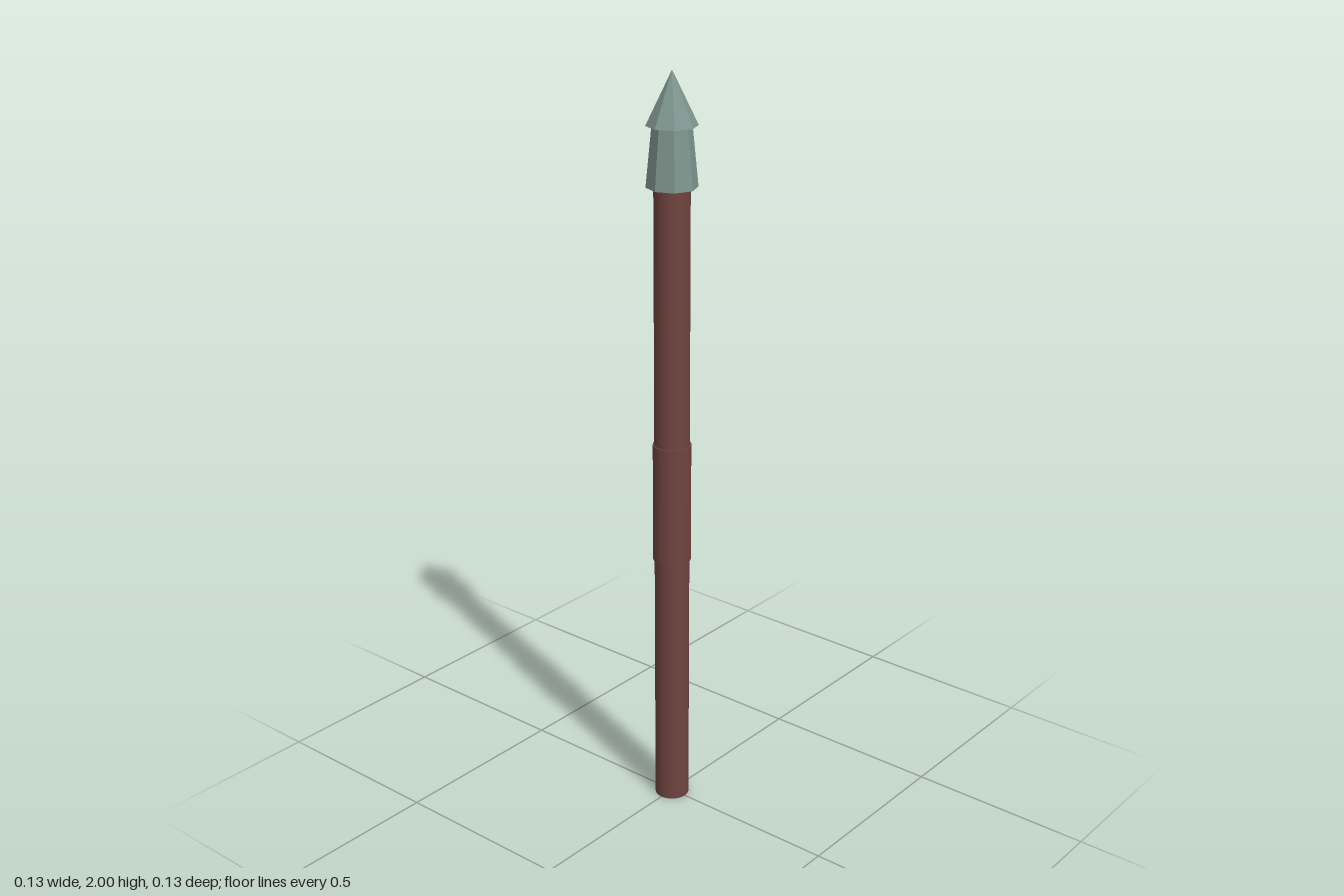
import * as THREE from 'three';

export function createModel() {
  const model = new THREE.Group();
  model.name = 'spear';

  const wood = new THREE.MeshStandardMaterial({ color: 0x6f443f });
  wood.name = 'dark reddish wood';
  const metal = new THREE.MeshStandardMaterial({ color: 0x80968f, flatShading: true });
  metal.name = 'grey green metal';

  // Adds an upright round part spanning two heights
  function addRound(name, material, rTop, rBottom, y0, y1, sides) {
    const geometry = new THREE.CylinderGeometry(rTop, rBottom, y1 - y0, sides);
    const mesh = new THREE.Mesh(geometry, material);
    mesh.name = name;
    mesh.position.y = (y0 + y1) / 2;
    model.add(mesh);
  }

  // Smooth pole with a slightly thicker grip
  addRound('shaft', wood, 0.046, 0.046, 0, 1.75, 24);
  addRound('grip', wood, 0.05, 0.05, 0.715, 1.04, 24);

  // Faceted head: flared socket below an eight-sided point
  addRound('socket', metal, 0.05, 0.065, 1.715, 1.866, 8);
  addRound('point', metal, 0, 0.065, 1.866, 2, 8);

  return model;
}
